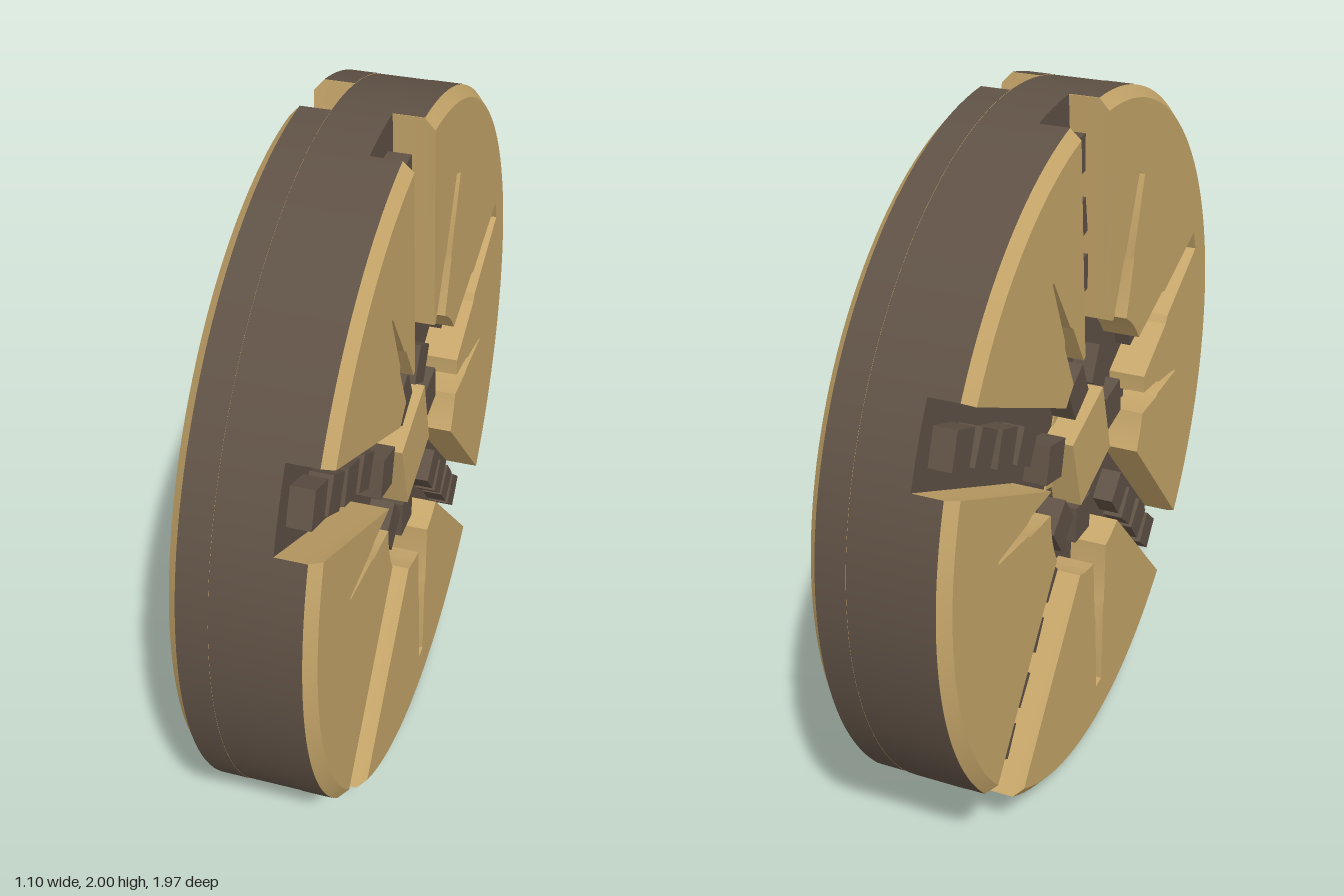
import * as THREE from 'three';
import { toCreasedNormals } from 'three/addons/utils/BufferGeometryUtils.js';

const RAD = Math.PI / 180;
const TOP = 0.185, FLOOR = 0.075, DEPTH = TOP - FLOOR, HUB = 0.37, STEPS = 4;

// Wide grooves that run out through the rim: angle, half width, block radii
const grooves = [
  { angle: 95, half: 0.1, blocks: [0.53, 0.69, 0.87] },
  { angle: 153, half: 0.11, blocks: [0.46, 0.6, 0.74, 0.88] },
  { angle: 228, half: 0.12, blocks: [0.4, 0.55, 0.7, 0.85] },
  { angle: 313, half: 0.11, blocks: [0.46, 0.6, 0.74, 0.88] },
];
// Short tapering grooves: angle, reach, half width at hub and at tip
const spikes = [
  { angle: 21, reach: 0.88, base: 0.085, tip: 0.035, blocks: [0.47, 0.62, 0.77], size: 0.075 },
  { angle: 68, reach: 0.77, base: 0.058, tip: 0.025, blocks: [0.47, 0.66], size: 0.06 },
  { angle: 119, reach: 0.74, base: 0.04, tip: 0.004, blocks: [0.42, 0.52], size: 0.04 },
  { angle: 176, reach: 0.71, base: 0.036, tip: 0.004, blocks: [0.42, 0.52], size: 0.045 },
  { angle: 272, reach: 0.85, base: 0.05, tip: 0.022, blocks: [0.5, 0.62, 0.76], size: 0.045 },
  { angle: 354, reach: 0.68, base: 0.034, tip: 0.004, blocks: [0.42, 0.5], size: 0.035 },
];
// Loose blocks on the hub floor: x, y, turn
const hubBlocks = [[-0.065, 0.2, 25], [0.11, 0.2, -30], [0.22, 0.02, 8],
  [-0.02, -0.23, -4], [-0.17, -0.17, 35], [-0.23, 0.07, -15]];

const polar = (deg, r) => new THREE.Vector2(r * Math.cos(deg * RAD), r * Math.sin(deg * RAD));
const spread = (half, r) => Math.asin(half / r) / RAD;

// Outline of a face panel between two wide grooves, notched by the spikes
function panelShape(from, to) {
  const points = [];
  const start = from.angle + spread(from.half, 1), end = to.angle - spread(to.half, 1);
  const n = Math.ceil((end - start) / 2.5);
  for (let i = 0; i <= n; i++) points.push(polar(start + (end - start) * i / n, 1));

  let at = to.angle - spread(to.half, HUB);
  const hubArc = (goal) => {
    const k = Math.max(1, Math.ceil((at - goal) / 8));
    for (let i = 0; i <= k; i++) points.push(polar(at + (goal - at) * i / k, HUB));
  };
  const inside = spikes
    .map((s) => ({ ...s, angle: s.angle < from.angle ? s.angle + 360 : s.angle }))
    .filter((s) => s.angle < to.angle)
    .sort((a, b) => b.angle - a.angle);
  for (const s of inside) {
    hubArc(s.angle + spread(s.base, HUB));
    // Stepped taper, out along one side and back along the other
    const mid = HUB + (s.reach - HUB) * 0.4;
    const side = [[mid, s.base * 0.8], [mid + 0.02, s.base * 0.5 + s.tip * 0.3], [s.reach, s.tip]];
    side.forEach(([r, w]) => points.push(polar(s.angle + spread(w, r), r)));
    side.reverse().forEach(([r, w]) => points.push(polar(s.angle - spread(w, r), r)));
    at = s.angle - spread(s.base, HUB);
  }
  hubArc(from.angle + spread(from.half, HUB));
  return { shape: new THREE.Shape(points), start, end };
}

function createFace(tan, dark) {
  const face = new THREE.Group();
  const add = (name, geometry, material, parent = face) => {
    const mesh = new THREE.Mesh(geometry, material);
    mesh.name = name;
    parent.add(mesh);
    return mesh;
  };

  // Raised panels with a chamfered outer edge, and the dark rim around each
  grooves.forEach((from, i) => {
    const next = grooves[(i + 1) % grooves.length];
    const to = next.angle < from.angle ? { ...next, angle: next.angle + 360 } : next;
    const { shape, start, end } = panelShape(from, to);
    const geometry = new THREE.ExtrudeGeometry(shape, { depth: DEPTH, steps: STEPS, bevelEnabled: false });
    const p = geometry.attributes.position;
    for (let k = 0; k < p.count; k++) {
      const x = p.getX(k), y = p.getY(k);
      if (p.getZ(k) > DEPTH - 1e-4 && Math.hypot(x, y) > 0.995) p.setXY(k, x * 0.97, y * 0.97);
    }
    const panel = add('facePanel', toCreasedNormals(geometry, 0.4), tan);
    panel.position.z = FLOOR;

    const height = DEPTH * (STEPS - 1) / STEPS;
    const rim = new THREE.CylinderGeometry(1.001, 1.001, height, 48, 1, true,
      (start + 90) * RAD, (end - start) * RAD);
    rim.rotateX(Math.PI / 2);
    add('panelRim', rim, dark).position.z = FLOOR + height / 2;
  });

  // Blocks standing in the grooves and on the hub floor
  const block = (name, x, y, size, turn) => {
    const mesh = add(name, new THREE.BoxGeometry(size, size, size), dark);
    mesh.position.set(x, y, FLOOR + size * 0.12);
    mesh.rotation.z = turn * RAD;
  };
  for (const g of [...grooves, ...spikes]) {
    g.blocks.forEach((r, i) => {
      const at = polar(g.angle, r);
      block('grooveBlock', at.x, at.y, g.size ? g.size * (1 - 0.12 * i) : 0.1, g.angle + (i % 2 ? 5 : -4));
    });
  }
  hubBlocks.forEach(([x, y, turn]) => block('hubBlock', x, y, 0.11, turn));

  // Central cube
  const cube = add('centreCube', new THREE.BoxGeometry(0.24, 0.24, 0.24), tan);
  cube.position.z = 0.04;
  cube.rotation.z = 17 * RAD;
  return face;
}

export function createModel() {
  const tan = new THREE.MeshStandardMaterial({ color: 0xc6a66a });
  const dark = new THREE.MeshStandardMaterial({ color: 0x5f5145 });
  const wheel = new THREE.Group();
  wheel.name = 'wheel';

  // Solid core whose ends form the groove floors
  const core = new THREE.Mesh(new THREE.CylinderGeometry(1, 1, FLOOR * 2, 144), dark);
  core.name = 'core';
  core.rotation.x = Math.PI / 2;
  wheel.add(core);

  // The same carved face on both sides
  for (const [name, turn] of [['carvedFace', 0], ['oppositeCarvedFace', Math.PI]]) {
    const face = createFace(tan, dark);
    face.name = name;
    face.rotation.y = turn;
    wheel.add(face);
  }

  wheel.rotation.y = 113 * RAD;
  wheel.position.y = 1;
  const model = new THREE.Group();
  model.name = 'carvedWheel';
  model.add(wheel);
  return model;
}
